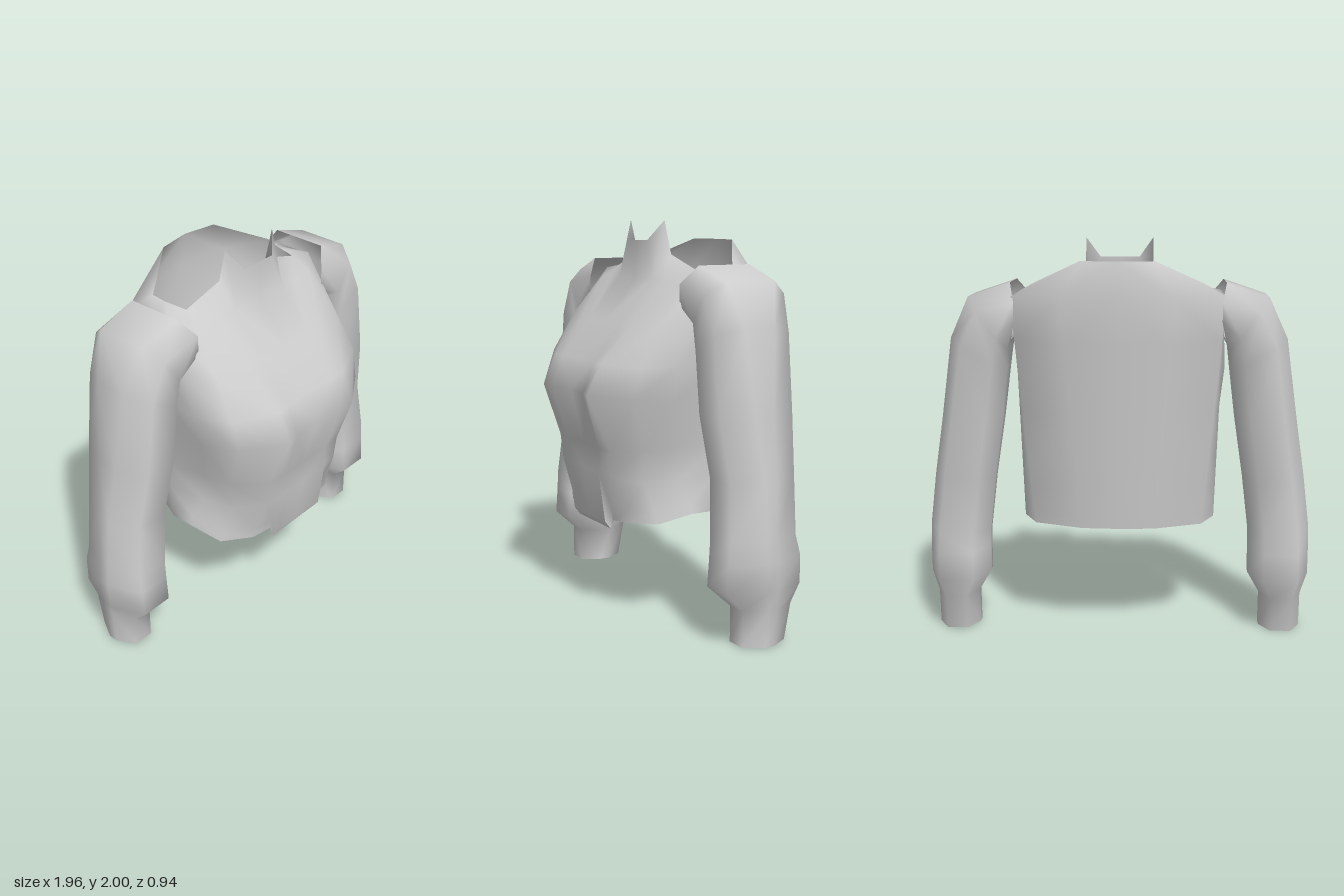
import * as THREE from 'three';
import { mergeVertices } from 'three/addons/utils/BufferGeometryUtils.js';

const cloth = new THREE.MeshStandardMaterial({ color: 0xcccccc, side: THREE.DoubleSide });
cloth.name = 'lightGreyCloth';

// Skin closed rings (bottom to top, counterclockwise from above) with smooth normals
function loft(rings, skip = () => false) {
  const n = rings[0].length, index = [];
  for (let r = 0; r < rings.length - 1; r++) {
    for (let i = 0; i < n; i++) {
      if (skip(r, i)) continue;
      const j = (i + 1) % n, a = r * n + i, b = r * n + j, c = b + n, d = a + n;
      // Mirror the diagonals on the second half of the ring
      if (i < n / 2) index.push(a, b, c, a, c, d);
      else index.push(a, b, d, b, c, d);
    }
  }
  let g = new THREE.BufferGeometry();
  g.setAttribute('position', new THREE.Float32BufferAttribute(rings.flat(2), 3));
  g.setIndex(index);
  g = mergeVertices(g, 1e-4);
  g.computeVertexNormals();
  return g;
}

function part(name, geometry) {
  const m = new THREE.Mesh(geometry, cloth);
  m.name = name;
  return m;
}

// Back half of a torso ring, sloping evenly from hem to shoulder blades
function backHalf(y) {
  const t = (y - 0.57) / 1.15, mix = THREE.MathUtils.lerp;
  return [
    [mix(0.49, 0.53, t), y, mix(-0.1, -0.15, t)],
    [mix(0.42, 0.53, t), y, mix(-0.26, -0.32, t)],
    [mix(0.18, 0.28, t), y, mix(-0.36, -0.44, t)],
    [0, y, mix(-0.37, -0.475, t)],
  ];
}

function torso() {
  // Front halves: centre, front tab edge, recess beside the tab, bust, front side, side
  const fronts = [
    [[0, 0.46, 0.305], [0.17, 0.46, 0.305], [0.17, 0.5, 0.285], [0.3, 0.515, 0.28], [0.45, 0.53, 0.19], [0.49, 0.57, 0.02]],
    [[0, 0.5, 0.335], [0.17, 0.5, 0.335], [0.17, 0.55, 0.295], [0.29, 0.57, 0.29], [0.435, 0.59, 0.2], [0.475, 0.62, 0.02]],
    [[0, 0.76, 0.37], [0.17, 0.76, 0.37], [0.17, 0.76, 0.37], [0.27, 0.75, 0.35], [0.39, 0.73, 0.24], [0.43, 0.73, 0.06]],
    [[0, 0.88, 0.365], [0.17, 0.88, 0.37], [0.17, 0.88, 0.37], [0.28, 0.88, 0.36], [0.42, 0.9, 0.25], [0.45, 0.9, 0.08]],
    [[0, 1.16, 0.435], [0.17, 1.16, 0.455], [0.17, 1.16, 0.455], [0.245, 1.16, 0.47], [0.46, 1.16, 0.33], [0.53, 1.15, 0.15]],
    [[0, 1.31, 0.385], [0.17, 1.31, 0.395], [0.17, 1.31, 0.395], [0.25, 1.31, 0.4], [0.47, 1.31, 0.3], [0.55, 1.32, 0.13]],
    [[0, 1.5, 0.235], [0.17, 1.5, 0.235], [0.17, 1.5, 0.235], [0.27, 1.5, 0.235], [0.45, 1.5, 0.19], [0.54, 1.5, 0.06]],
    [[0, 1.71, 0.06], [0.17, 1.71, 0.06], [0.17, 1.71, 0.06], [0.27, 1.7, 0.055], [0.41, 1.7, 0.03], [0.51, 1.74, -0.05]],
  ];
  const backY = [0.57, 0.62, 0.76, 0.9, 1.15, 1.32, 1.5, 1.72];
  const halves = fronts.map((f, i) => [...f, ...backHalf(backY[i])]);
  // Neckline with two pointed collar tips
  halves.push([
    [0, 1.9, 0.05], [0.1, 1.9, 0.05], [0.17, 2, -0.01], [0.17, 1.83, -0.05], [0.39, 1.76, -0.06],
    [0.4, 1.765, -0.12], [0.41, 1.77, -0.18], [0.42, 1.785, -0.25], [0.18, 1.9, -0.41], [0, 1.9, -0.44],
  ]);
  const rings = halves.map((h, r) => {
    // Double the tab edge so the flap keeps a crisp border at the bottom
    const [x, y, z] = h[1];
    const half = [...h.slice(0, 2), [r < 2 ? x + 0.001 : x, y, z], ...h.slice(2)];
    return [...half, ...half.slice(1, -1).reverse().map((p) => [-p[0], p[1], p[2]])];
  });
  const n = rings[0].length;
  return loft(rings, (r, i) => r < 2 && (i === 1 || i === n - 2));
}

// Sleeve rings: inner x, inner y, outer x, outer y, front z, back z,
// half width of the front and back faces, half depth of the side faces, inward bulge
const sleeveRings = [
  [0.73, 0, 0.94, 0, -0.015, -0.26, 0.5, 0.2, 0],
  [0.73, 0.18, 0.94, 0.18, -0.015, -0.295, 0.5, 0.2, 0],
  [0.67, 0.28, 0.98, 0.28, 0.09, -0.33, 0.55, 0.15, 0],
  [0.67, 0.42, 0.98, 0.42, 0.08, -0.33, 0.55, 0.15, 0],
  [0.67, 0.5, 0.98, 0.53, 0.075, -0.3, 0.55, 0.15, 0],
  [0.635, 0.79, 0.945, 0.8, 0.055, -0.31, 0.55, 0.2, 0],
  [0.59, 1.1, 0.9, 1.1, 0.09, -0.325, 0.55, 0.25, 0],
  [0.56, 1.36, 0.84, 1.51, 0.09, -0.335, 0.55, 0.4, 0],
  [0.55, 1.46, 0.74, 1.72, 0.09, -0.365, 0.5, 0.6, 0],
  [0.53, 1.51, 0.53, 1.79, 0.08, -0.34, 0.35, 0.7, 0.08],
];

function sleeve(side) {
  const rings = sleeveRings.map(([xi, yi, xo, yo, zf, zb, k, d, bulge]) => {
    // Eight corners as (across, depth) pairs, counterclockwise from above
    const corners = [[-k, 1], [k, 1], [1, d], [1, -d], [k, -1], [-k, -1], [-1, -d], [-1, d]];
    const ring = corners.map(([u, w]) => {
      const t = (u + 1) / 2;
      // The armhole reaches further in at the front than at the back
      const x = xi + (xo - xi) * t - bulge * (1 - u * u) * (w > 0 ? 1 : 0.3);
      return [side * x, yi + (yo - yi) * t, (zf + zb) / 2 + (w * (zf - zb)) / 2];
    });
    return side > 0 ? ring : ring.reverse();
  });
  return loft(rings);
}

export function createModel() {
  const model = new THREE.Group();
  model.name = 'top';
  model.add(part('torso', torso()), part('leftSleeve', sleeve(1)), part('rightSleeve', sleeve(-1)));
  return model;
}
